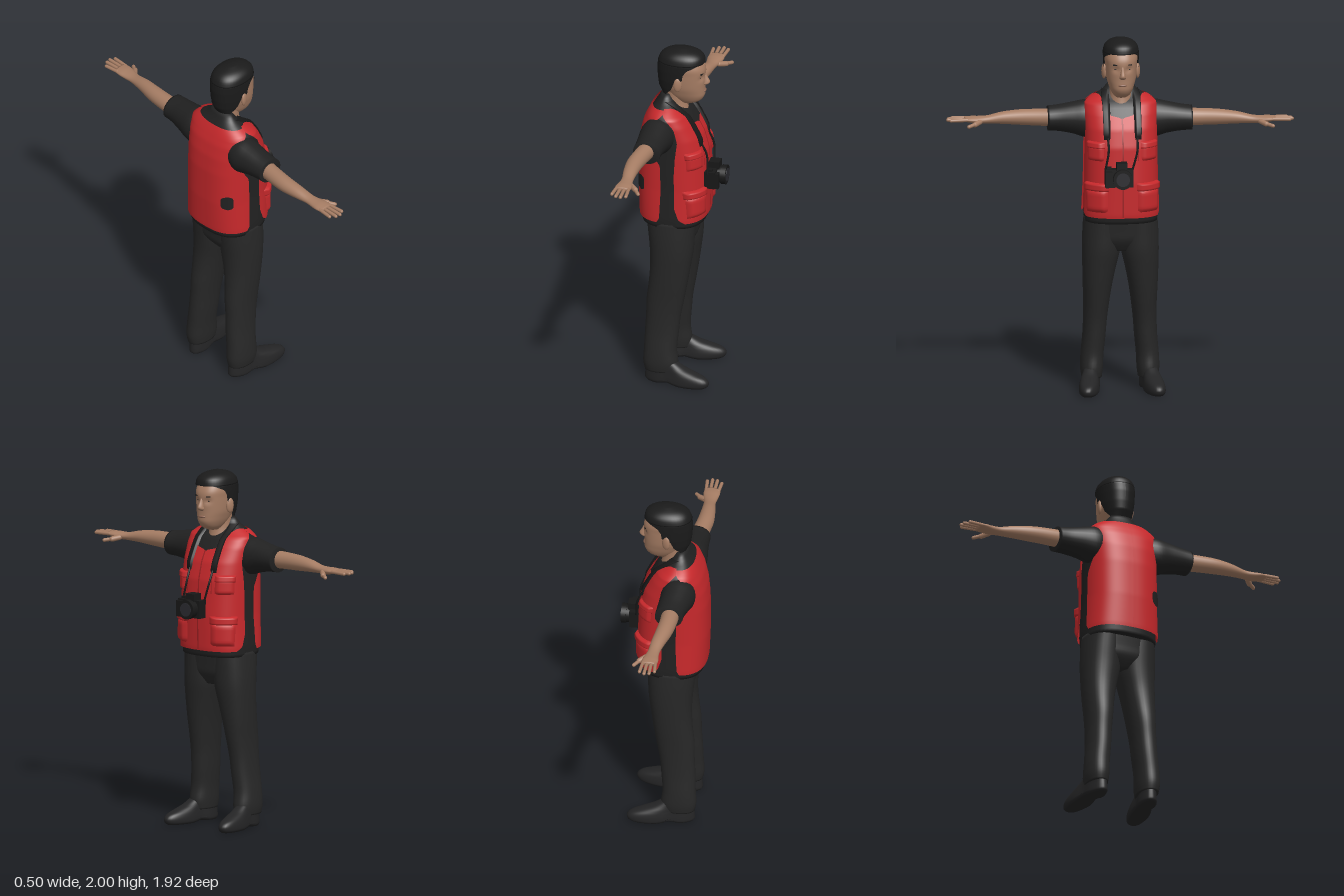
import * as THREE from 'three';

const mat = (name, color, side = THREE.FrontSide) => {
  const m = new THREE.MeshStandardMaterial({ color, side });
  m.name = name;
  return m;
};
const lerp = THREE.MathUtils.lerp;

// Linear lookup in a table whose rows start with their key
function sample(table, t) {
  let i = 0;
  while (i < table.length - 2 && t > table[i + 1][0]) i++;
  const a = table[i], b = table[i + 1];
  const k = THREE.MathUtils.clamp((t - a[0]) / (b[0] - a[0]), 0, 1);
  return a.slice(1).map((v, j) => lerp(v, b[j + 1], k));
}

// Catmull-Rom refinement of table rows
function dense(rows, n = 4) {
  const out = [], at = i => rows[Math.min(Math.max(i, 0), rows.length - 1)];
  for (let i = 0; i < rows.length - 1; i++) for (let s = 0; s < n; s++) {
    const t = s / n;
    out.push(rows[i].map((b, j) => {
      const a = at(i - 1)[j], c = at(i + 1)[j], d = at(i + 2)[j];
      return b + 0.5 * t * (c - a + t * (2 * a - 5 * b + 4 * c - d + t * (3 * (b - c) + d - a)));
    }));
  }
  return [...out, rows[rows.length - 1]];
}

function build(pos, idx) {
  const g = new THREE.BufferGeometry();
  g.setAttribute('position', new THREE.Float32BufferAttribute(pos, 3));
  g.setIndex(idx);
  g.computeVertexNormals();
  return g;
}

// Closed body from rows [y, xBack, xFront, zCentre, zRadius, exponent]
function loft(rows, seg = 32) {
  const pos = [], idx = [], last = rows.length - 1;
  const pw = (v, n) => Math.sign(v) * Math.abs(v) ** (2 / n);
  for (const [y, xb, xf, cz, rz, n = 2] of rows) for (let j = 0; j < seg; j++) {
    const a = j / seg * Math.PI * 2;
    pos.push((xb + xf) / 2 + (xf - xb) / 2 * pw(Math.cos(a), n), y, cz + rz * pw(Math.sin(a), n));
  }
  for (let i = 0; i < last; i++) for (let j = 0; j < seg; j++) {
    const k = (j + 1) % seg, a = i * seg + j, b = i * seg + k;
    idx.push(a, a + seg, b, b, a + seg, b + seg);
  }
  for (const i of [0, last]) {
    const r = rows[i], c = pos.length / 3;
    pos.push((r[1] + r[2]) / 2, r[0], r[3]);
    for (let j = 0; j < seg; j++) {
      const a = i * seg + j, b = i * seg + (j + 1) % seg;
      idx.push(c, ...(i ? [b, a] : [a, b]));
    }
  }
  return build(pos, idx);
}

// Sheet lying on a body table [y, xBack, xFront, zRadius, exponent], between two angles per row
function panel(table, y0, y1, range, off, side, nu = 16, nv = 24) {
  const pos = [], idx = [];
  for (let i = 0; i <= nv; i++) {
    const y = lerp(y0, y1, i / nv), [xb, xf, rz, n] = sample(table, y), [a, b] = range(y);
    for (let j = 0; j <= nu; j++) {
      const t = lerp(a, b, j / nu), o = typeof off === 'number' ? off : off(j / nu, i / nv);
      const c = Math.cos(t), s = Math.sin(t);
      pos.push((xb + xf) / 2 + ((xf - xb) / 2 + o) * Math.sign(c) * Math.abs(c) ** (2 / n), y,
        side * (rz + o) * Math.sign(s) * Math.abs(s) ** (2 / n));
      if (i < nv && j < nu) {
        const p = i * (nu + 1) + j, q = p + nu + 1;
        idx.push(p, q, p + 1, p + 1, q, q + 1);
      }
    }
  }
  return build(pos, idx);
}
// Angle on a body table at a given x or z
function angleX(table, y, x) {
  const [xb, xf, , n] = sample(table, y), k = THREE.MathUtils.clamp((x - (xb + xf) / 2) / ((xf - xb) / 2), -1, 1);
  return Math.acos(Math.sign(k) * Math.abs(k) ** (n / 2));
}
function angleZ(table, y, z) {
  const [, , rz, n] = sample(table, y), k = THREE.MathUtils.clamp(z / rz, -1, 1);
  return Math.asin(Math.sign(k) * Math.abs(k) ** (n / 2));
}

// Rounded rod between two points
function rod(a, b, r) {
  const p = new THREE.Vector3(...a), d = new THREE.Vector3(...b).sub(p), len = d.length();
  const g = new THREE.CapsuleGeometry(r, Math.max(len - r, 0.001), 4, 10);
  g.applyQuaternion(new THREE.Quaternion().setFromUnitVectors(new THREE.Vector3(0, 1, 0), d.clone().normalize()));
  return g.translate(...p.addScaledVector(d, 0.5).toArray());
}

export function createModel() {
  const root = new THREE.Group();
  const DS = THREE.DoubleSide;
  const skin = mat('skin', 0xa67d64), lip = mat('lips', 0x8c6452), hairM = mat('hair', 0x1b1b1b, DS);
  const red = mat('vest red', 0xc6282b, DS), seam = mat('seam red', 0x9c2022, DS);
  const cloth = mat('black shirt', 0x212121, DS), trousers = mat('trousers', 0x272727);
  const leather = mat('shoe leather', 0x242425), camBlack = mat('camera black', 0x181818, DS), glass = mat('lens glass', 0x2b2b30);
  const add = (name, geo, m) => {
    const o = new THREE.Mesh(geo, m);
    o.name = name;
    root.add(o);
    return o;
  };

  // Shirt body
  const torso = [[0.97, -0.228, 0.125, 0.203, 2.6], [1.02, -0.233, 0.132, 0.205, 2.6], [1.2, -0.24, 0.136, 0.196, 2.6],
    [1.4, -0.238, 0.126, 0.194, 2.6], [1.5, -0.228, 0.1, 0.194, 2.6], [1.58, -0.208, 0.058, 0.196, 2.6],
    [1.63, -0.184, 0.025, 0.19, 2.5], [1.655, -0.17, -0.01, 0.16, 2.4], [1.69, -0.148, -0.04, 0.1, 2.2], [1.73, -0.128, -0.06, 0.068, 2]];
  add('shirt', loft(Array.from({ length: 45 }, (_, i) => {
    const y = 0.97 + i / 44 * 0.76, [b, f, rz, n] = sample(torso, y);
    return [y, b, f, 0, rz, n];
  }), 48), cloth);

  // Vest panels with armholes, open sides and neckline
  const frontEdge = [[1, 0.05], [1.03, 0.01], [1.1, -0.012], [1.3, -0.015], [1.4, -0.01], [1.5, 0], [1.58, -0.02], [1.63, -0.06], [1.65, -0.085]];
  const backEdge = [[1, -0.11], [1.03, -0.092], [1.2, -0.085], [1.35, -0.09], [1.42, -0.13], [1.5, -0.185], [1.58, -0.17], [1.63, -0.11], [1.65, -0.085]];
  const neckEdge = [[1, 0], [1.56, 0], [1.575, 0.06], [1.62, 0.085], [1.66, 0.1], [1.68, 0.115]];
  const patch = (name, m, y0, y1, z0, z1, off, side) => add(name,
    panel(torso, y0, y1, y => [angleZ(torso, y, z0), angleZ(torso, y, z1)], off, side, 8, 10), m);
  const puff = h => (u, v) => 0.008 + h * Math.min(1, 8 * Math.min(u, 1 - u, v, 1 - v));
  for (const s of [1, -1]) {
    add('vestFront', panel(torso, 1.005, 1.675, y => {
      const a = angleZ(torso, y, sample(neckEdge, y)[0]);
      return [a, Math.max(a, angleX(torso, y, sample(frontEdge, y)[0]))];
    }, 0.011, s, 20, 60), red);
    add('vestBack', panel(torso, 1.005, 1.67, y => [angleX(torso, y, sample(backEdge, y)[0]), Math.PI], 0.011, s, 24, 48), red);
    patch('lowerPocket', red, 1.035, 1.17, 0.075, 0.185, puff(0.018), s);
    patch('lowerPocketFlap', red, 1.155, 1.205, 0.07, 0.188, puff(0.024), s);
    patch('chestPocket', red, 1.325, 1.42, 0.095, 0.178, puff(0.014), s);
    patch('chestPocketFlap', red, 1.395, 1.435, 0.092, 0.18, puff(0.019), s);
    patch('yokeSeam', seam, 1.33, 1.55, 0.078, 0.082, 0.014, s);
    patch('cameraStrap', camBlack, 1.44, 1.7, 0.062, 0.1, puff(0.014), s);
  }
  patch('zipper', seam, 1.01, 1.56, -0.004, 0.004, 0.014, 1);
  add('sidePatch', panel(torso, 1.175, 1.265, y => {
    const w = 0.022 * Math.sqrt(Math.max(0, 1 - ((y - 1.22) / 0.045) ** 4));
    return [angleX(torso, y, -0.198 + w), angleX(torso, y, -0.198 - w)];
  }, 0.017, 1, 6, 12), cloth);

  // Trousers
  add('hips', loft(dense([[0.8, -0.13, 0.035, 0, 0.1, 2.4], [0.86, -0.172, 0.07, 0, 0.185, 2.6],
    [0.92, -0.182, 0.08, 0, 0.205, 2.6], [1, -0.195, 0.09, 0, 0.2, 2.6]])), trousers);
  const leg = [[0.07, -0.188, -0.008, 0.1, 0.213], [0.12, -0.197, 0, 0.094, 0.22], [0.2, -0.193, -0.008, 0.09, 0.217],
    [0.3, -0.19, 0, 0.08, 0.208], [0.4, -0.185, 0.01, 0.072, 0.204], [0.5, -0.183, 0.028, 0.06, 0.204], [0.6, -0.172, 0.045, 0.045, 0.208],
    [0.7, -0.166, 0.06, 0.025, 0.211], [0.8, -0.17, 0.074, 0.002, 0.213], [0.9, -0.18, 0.08, -0.005, 0.211], [0.99, -0.19, 0.085, -0.005, 0.205]];
  // Shoe rows: height, heel, toe, half width
  const shoe = [[0, -0.18, 0.165, 0.05], [0.012, -0.19, 0.182, 0.058], [0.035, -0.19, 0.187, 0.058], [0.058, -0.188, 0.165, 0.055],
    [0.078, -0.186, 0.11, 0.052], [0.1, -0.184, 0.045, 0.05], [0.13, -0.18, -0.01, 0.048]];
  for (const s of [1, -1]) {
    add('trouserLeg', loft(dense(leg.map(([y, b, f, zi, zo]) => [y, b, f, s * (zi + zo) / 2, (zo - zi) / 2, 2.2]))), trousers);
    const g = loft(dense(shoe.map(([y, b, f, w]) => [y, b, f, 0, w, 2.3])), 40), p = g.attributes.position;
    for (let i = 0; i < p.count; i++) {
      const x = p.getX(i), arch = Math.exp(-(((x + 0.045) / 0.04) ** 2));
      p.setZ(i, p.getZ(i) * (1 - 0.18 * arch));
      if (p.getY(i) < 0.02) p.setY(i, p.getY(i) + 0.012 * arch);
    }
    g.rotateY(-s * 0.15).translate(0, 0, s * 0.174);
    g.computeVertexNormals();
    add('shoe', g, leather);
  }

  // Arms: rows of distance, x on the left, x on the right, half depth, half height, height
  const sleeve = [[0.13, -0.11, -0.1, 0.085, 0.095, 1.53], [0.19, -0.112, -0.1, 0.096, 0.106, 1.526], [0.26, -0.114, -0.093, 0.088, 0.089, 1.53],
    [0.34, -0.117, -0.082, 0.08, 0.074, 1.53], [0.4, -0.118, -0.078, 0.078, 0.069, 1.528]];
  const arm = [[0.36, -0.12, -0.085, 0.05, 0.05, 1.53], [0.45, -0.135, -0.083, 0.048, 0.047, 1.53], [0.55, -0.147, -0.073, 0.046, 0.043, 1.53],
    [0.65, -0.147, -0.055, 0.039, 0.034, 1.528], [0.73, -0.142, -0.043, 0.033, 0.023, 1.521], [0.78, -0.14, -0.037, 0.04, 0.021, 1.52],
    [0.82, -0.14, -0.035, 0.046, 0.018, 1.523], [0.86, -0.14, -0.034, 0.044, 0.012, 1.525]];
  for (const s of [1, -1]) {
    const along = rows => loft(dense(rows.map(([d, xl, xr, rx, ry, y]) => {
      const x = s > 0 ? xl : xr;
      return [d, x - rx, x + rx, -s * y, ry, 2];
    })), 24).rotateX(s * Math.PI / 2);
    add('sleeve', along(sleeve), cloth);
    add('arm', along(arm), skin);
    const hx = s > 0 ? -0.14 : -0.034;
    [0.93, 0.952, 0.957, 0.942].forEach((tip, i) => {
      const x = hx - 0.034 + i * 0.0227;
      add('finger', rod([x, 1.525, s * 0.84], [x + (i - 1.5) * 0.005, 1.524, s * tip], 0.0098), skin);
    });
    add('thumb', rod([hx + 0.025, 1.515, s * 0.77], [hx + 0.068, 1.503, s * 0.81], 0.015), skin);
    add('thumbTip', rod([hx + 0.06, 1.505, s * 0.805], [hx + 0.09, 1.497, s * 0.845], 0.0105), skin);
  }

  // Head and neck
  add('neck', loft(dense([[1.58, -0.12, 0.035, 0, 0.07], [1.64, -0.118, 0.018, 0, 0.064], [1.7, -0.115, 0.01, 0, 0.06], [1.78, -0.12, 0.02, 0, 0.062]])), skin);
  const head = loft(dense([[1.67, -0.02, 0.045, 0, 0.028], [1.69, -0.05, 0.09, 0, 0.048], [1.72, -0.09, 0.112, 0, 0.064],
    [1.75, -0.11, 0.115, 0, 0.074], [1.78, -0.125, 0.115, 0, 0.082], [1.82, -0.135, 0.117, 0, 0.086], [1.86, -0.14, 0.119, 0, 0.088],
    [1.9, -0.14, 0.112, 0, 0.09], [1.95, -0.12, 0.08, 0, 0.075], [1.98, -0.06, 0.03, 0, 0.035]].map(r => [...r, 2.3])), 64);
  const hp = head.attributes.position;
  for (let i = 0; i < hp.count; i++) { // eye sockets
    const x = hp.getX(i), dy = (hp.getY(i) - 1.842) / 0.016, dz = (Math.abs(hp.getZ(i)) - 0.036) / 0.02;
    if (x > 0) hp.setX(i, x - 0.011 * Math.exp(-dy * dy - dz * dz));
  }
  head.computeVertexNormals();
  add('head', head, skin);
  add('nose', loft(dense([[1.785, 0.09, 0.118, 0, 0.012], [1.796, 0.09, 0.138, 0, 0.019], [1.81, 0.09, 0.143, 0, 0.016],
    [1.835, 0.09, 0.13, 0, 0.011], [1.86, 0.09, 0.118, 0, 0.008]]), 16), skin);
  add('mouth', new THREE.SphereGeometry(1, 16, 10).scale(0.012, 0.008, 0.025).translate(0.11, 1.752, 0), lip);
  for (const s of [1, -1]) {
    add('ear', new THREE.SphereGeometry(1, 16, 12).scale(0.024, 0.042, 0.012).rotateY(s * 0.35).translate(-0.018, 1.81, s * 0.094), skin);
    add('eyebrow', new THREE.BoxGeometry(0.008, 0.006, 0.034).rotateY(s * -0.25).translate(0.107, 1.868, s * 0.036), hairM);
    add('eye', new THREE.SphereGeometry(1, 12, 8).scale(0.005, 0.004, 0.009).translate(0.097, 1.842, s * 0.036), hairM);
  }

  // Hair: side and back shell, then the crown
  const hair = [[1.73, -0.125, 0, 0.07, 2.2], [1.77, -0.145, 0.1, 0.086, 2.2], [1.82, -0.152, 0.115, 0.095, 2.2], [1.88, -0.155, 0.12, 0.099, 2.2],
    [1.925, -0.151, 0.115, 0.1, 2.2], [1.96, -0.135, 0.106, 0.09, 2.2], [1.985, -0.1, 0.07, 0.063, 2.1], [2, -0.04, 0.01, 0.018, 2]];
  const hairline = [[1.73, -0.095], [1.77, -0.06], [1.82, -0.04], [1.835, 0.005], [1.87, 0.01], [1.9, 0.03], [1.93, 0.1]];
  for (const s of [1, -1])
    add('hairSide', panel(hair, 1.73, 1.93, y => [angleX(hair, y, sample(hairline, y)[0]), Math.PI], 0, s, 20, 30), hairM);
  add('hairCrown', loft(dense(hair.slice(4).map(([y, b, f, rz, n]) => [y, b, f, 0, rz, n])), 40), hairM);

  // Camera hanging on cords
  const box = (name, w, h, d, x, y, z) => add(name, new THREE.BoxGeometry(w, h, d).translate(x, y, z), camBlack);
  box('cameraBody', 0.06, 0.1, 0.155, 0.165, 1.243, 0.025);
  box('cameraGrip', 0.03, 0.09, 0.035, 0.2, 1.24, 0.083);
  box('cameraPrism', 0.06, 0.042, 0.06, 0.175, 1.308, 0.01);
  box('cameraDial', 0.025, 0.014, 0.025, 0.165, 1.298, 0.08);
  const tube = (name, r, x0, x1, m) => add(name,
    new THREE.CylinderGeometry(r, r, x1 - x0, 32).rotateZ(-Math.PI / 2).translate((x0 + x1) / 2, 1.245, 0.008), m);
  tube('lensBarrel', 0.05, 0.18, 0.22, camBlack);
  tube('lensRing', 0.055, 0.215, 0.243, camBlack);
  tube('lensGlass', 0.038, 0.24, 0.246, glass);
  for (const [z0, z1] of [[0.082, 0.1], [-0.082, -0.05]])
    add('strapCord', new THREE.TubeGeometry(new THREE.CatmullRomCurve3([[0.115, 1.46, z0], [0.145, 1.39, z0 * 0.97],
      [0.155, 1.28, z1]].map(p => new THREE.Vector3(...p))), 12, 0.006, 6), camBlack);
  return root;
}
